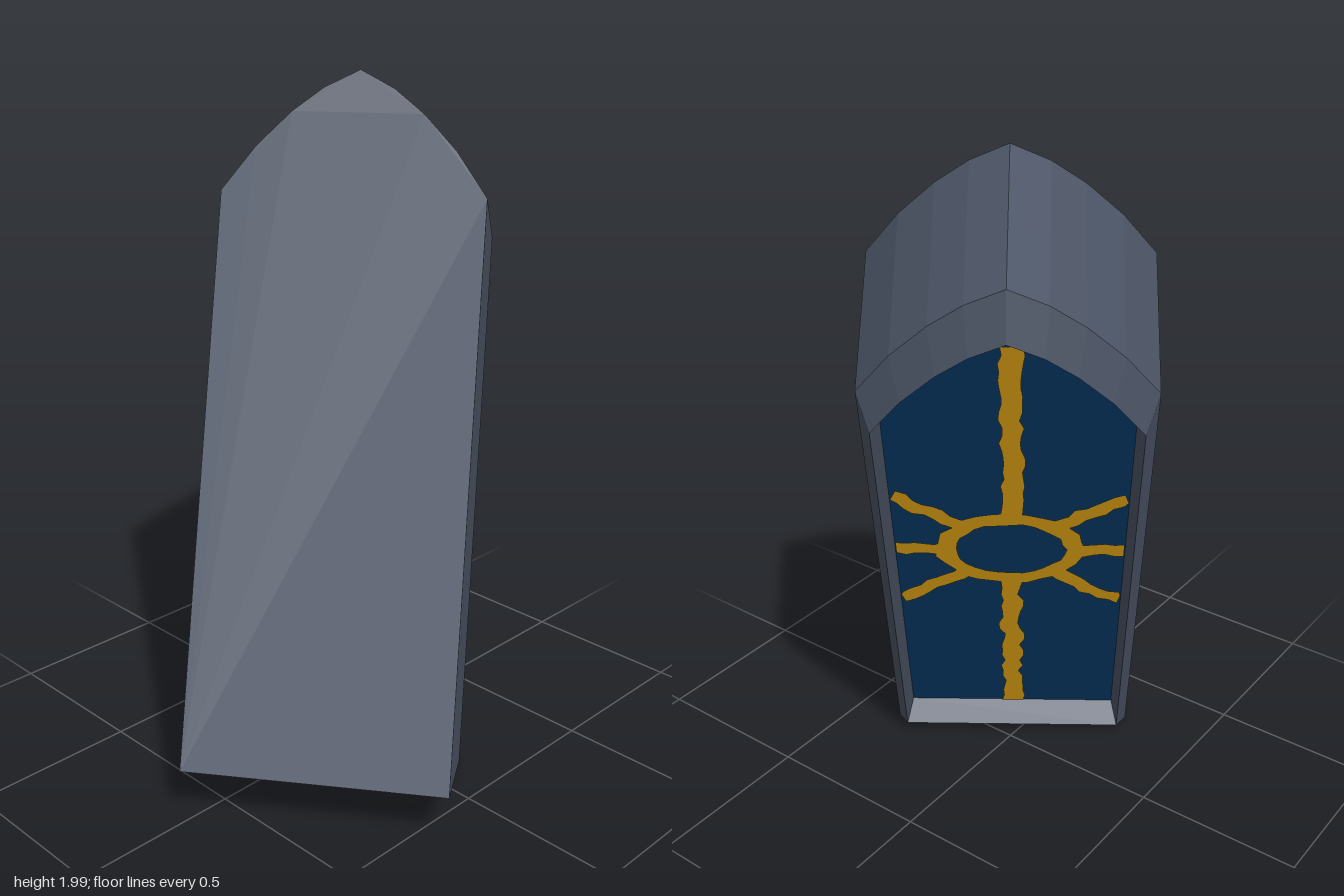
import * as THREE from 'three';

const HALF = 0.377;   // half width of the slab
const MID = 0.8;      // height towards which the back outlines shrink

// Pointed-arch outline, counter-clockwise, shrunk by a scale
function outline(scale = 1) {
  const arch = [[HALF, 1.639], [0.285, 1.768], [0.188, 1.87], [0.1, 1.94]];
  const pts = [[-HALF, 0], [HALF, 0], ...arch, [0, 1.992],
    ...arch.slice().reverse().map(([x, y]) => [-x, y])];
  return pts.map(([x, y]) => new THREE.Vector2(x * scale, MID + (y - MID) * scale));
}

// Flat-faceted band joining two outlines at depths za (front) and zb (back)
function band(a, za, b, zb) {
  const pos = [];
  for (let i = 0; i < a.length; i++) {
    const j = (i + 1) % a.length;
    const A = [a[i].x, a[i].y, za], A2 = [a[j].x, a[j].y, za];
    const B = [b[i].x, b[i].y, zb], B2 = [b[j].x, b[j].y, zb];
    pos.push(...A, ...B, ...B2, ...A, ...B2, ...A2);
  }
  const geo = new THREE.BufferGeometry();
  geo.setAttribute('position', new THREE.Float32BufferAttribute(pos, 3));
  geo.computeVertexNormals();
  return geo;
}

export function createModel() {
  const stone = new THREE.MeshStandardMaterial({ color: 0x4c5566 });
  stone.name = 'slateStone';
  const blue = new THREE.MeshStandardMaterial({ color: 0x053764, side: THREE.DoubleSide });
  blue.name = 'deepBlue';
  const gold = new THREE.MeshStandardMaterial({ color: 0xdfa314, side: THREE.DoubleSide });
  gold.name = 'gold';

  let seed = 7;
  const jitter = (amount) => {
    seed = (seed * 16807) % 2147483647;
    return (seed / 2147483647 - 0.5) * 2 * amount;
  };

  const slab = new THREE.Group();
  slab.name = 'leaningSlab';
  const add = (name, geo, mat, z = 0) => {
    const mesh = new THREE.Mesh(geo, mat);
    mesh.name = name;
    mesh.position.z = z;
    slab.add(mesh);
  };

  // Stone body: flat front, slightly tapered sides, bevelled rim, sunken back
  const front = outline();
  const back = outline(0.975);
  const rim = outline(0.885);
  const inner = outline(0.84);
  const BACK = -0.467, RIM = -0.535, PANEL = -0.465;
  add('frontFace', new THREE.ShapeGeometry(new THREE.Shape(front)), stone);
  add('sides', band(front, 0, back, BACK), stone);
  add('rimBevel', band(back, BACK, rim, RIM), stone);
  add('recessWall', band(rim, RIM, inner, PANEL), stone);

  // Blue back panel, turned to face backwards
  const panel = new THREE.ShapeGeometry(new THREE.Shape(inner));
  panel.rotateY(Math.PI);
  add('bluePanel', panel, blue, PANEL);

  // Ragged gold veins from the ring to the panel edge
  const vein = (name, x0, y0, x1, y1, width) => {
    const from = new THREE.Vector2(x0, y0), to = new THREE.Vector2(x1, y1);
    const dir = to.clone().sub(from);
    const steps = Math.max(5, Math.round(dir.length() / 0.03));
    const side = new THREE.Vector2(-dir.y, dir.x).normalize();
    const left = [], right = [];
    for (let i = 0; i <= steps; i++) {
      const p = from.clone().lerp(to, i / steps).addScaledVector(side, jitter(0.006));
      left.push(p.clone().addScaledVector(side, width / 2 + jitter(0.006)));
      right.unshift(p.clone().addScaledVector(side, -width / 2 + jitter(0.006)));
    }
    for (const p of [...left, ...right]) p.x = THREE.MathUtils.clamp(p.x, -0.315, 0.315);
    add(name, new THREE.ShapeGeometry(new THREE.Shape([...left, ...right])), gold, PANEL - 0.004);
  };
  const CY = 0.97;
  vein('upperVein', -0.008, CY + 0.135, -0.008, 1.78, 0.056);
  vein('lowerVein', 0, CY - 0.135, -0.004, 0.132, 0.056);
  for (const s of [-1, 1]) {
    vein('sideVein', s * 0.18, CY, s * 0.314, CY, 0.05);
    vein('upperDiagonalVein', s * 0.12, CY + 0.105, s * 0.314, CY + 0.235, 0.048);
    vein('lowerDiagonalVein', s * 0.12, CY - 0.11, s * 0.314, CY - 0.255, 0.048);
  }

  // Ragged gold ring in the middle of the panel
  const loop = (rx, ry) => Array.from({ length: 28 }, (_, i) => {
    const t = (i / 28) * Math.PI * 2, k = 1 + jitter(0.04);
    return new THREE.Vector2(Math.cos(t) * rx * k, CY + Math.sin(t) * ry * k);
  });
  const ring = new THREE.Shape(loop(0.205, 0.162));
  ring.holes.push(new THREE.Path(loop(0.153, 0.113)));
  add('goldRing', new THREE.ShapeGeometry(ring), gold, PANEL - 0.005);

  // Turn and lean the whole slab
  slab.rotation.set(-0.414, 0.614, 0, 'YXZ');
  slab.position.set(0.306, 0.176, 0.441);
  const model = new THREE.Group();
  model.name = 'archedSlab';
  model.add(slab);
  return model;
}
